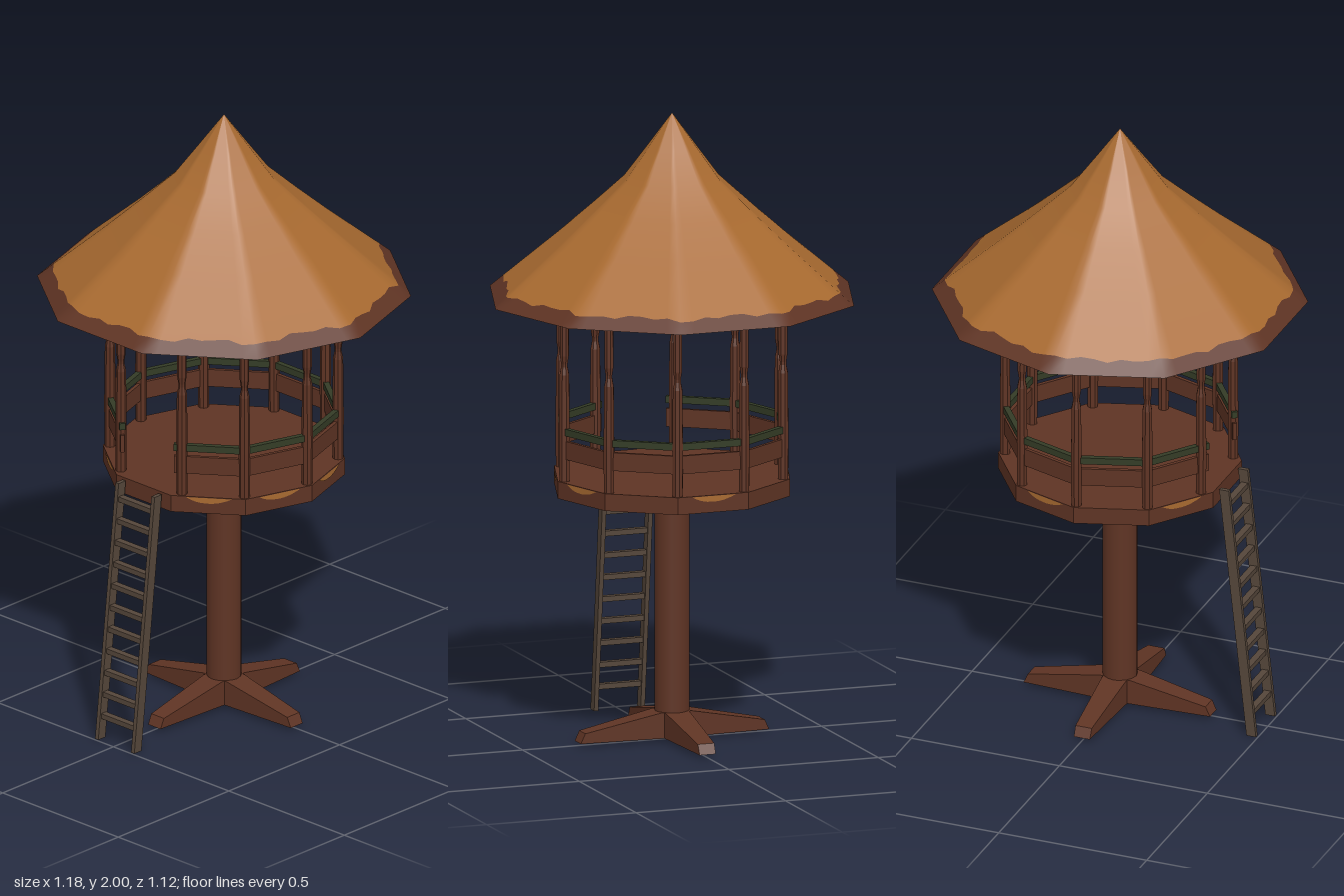
import * as THREE from 'three';

const mat = (name, color, side = THREE.FrontSide) => {
  const m = new THREE.MeshStandardMaterial({ color, side });
  m.name = name;
  return m;
};

export function createModel() {
  const wood = mat('brown wood', 0x5f3424);
  const thatch = mat('golden thatch', 0xa86a30, THREE.DoubleSide);
  const rope = mat('green rail', 0x343c26);
  const ladderWood = mat('grey brown wood', 0x55463a);
  const group = new THREE.Group();
  const SIDES = 10;

  const add = (parent, name, geo, material, x = 0, y = 0, z = 0) => {
    const mesh = new THREE.Mesh(geo, material);
    mesh.name = name;
    mesh.position.set(x, y, z);
    parent.add(mesh);
    return mesh;
  };
  const flat = (geo) => {
    const g = geo.index ? geo.toNonIndexed() : geo;
    g.computeVertexNormals();
    return g;
  };

  // Ten-sided roof surface: rows run from the bottom up, each giving [radius, y] for a step
  const SUB = 8, N = SIDES * SUB;
  const corner = (k, r) => new THREE.Vector3(
    r * Math.cos(k * Math.PI / 5), 0, r * Math.sin(k * Math.PI / 5));
  const roofSurface = (rows, inward = false) => {
    const pos = [], index = [];
    for (const row of rows) {
      for (let i = 0; i < N; i++) {
        const [r, y] = row(i);
        const k = Math.floor(i / SUB);
        const p = corner(k, r).lerp(corner(k + 1, r), (i % SUB) / SUB);
        pos.push(p.x, y, p.z);
      }
    }
    for (let j = 0; j < rows.length - 1; j++) {
      for (let i = 0; i < N; i++) {
        const a = j * N + i, b = j * N + (i + 1) % N, c = a + N, d = b + N;
        if (inward) index.push(a, b, c, b, d, c);
        else index.push(a, c, b, b, c, d);
      }
    }
    const geo = new THREE.BufferGeometry();
    geo.setAttribute('position', new THREE.Float32BufferAttribute(pos, 3));
    geo.setIndex(index);
    geo.computeVertexNormals();
    return geo;
  };
  const fixed = (r, y) => () => [r, y];
  const EAVE = 1.415, R = 0.59;
  const ragged = (i) => {
    const r = 0.546 + 0.005 * Math.sin(i * 2.3) + 0.004 * Math.sin(i * 0.9 + 1);
    return [r, EAVE + (R - r) * 0.185 / 0.22];
  };
  add(group, 'roofRim', roofSurface([fixed(R, EAVE), ragged]), wood);
  add(group, 'roofThatch', roofSurface([
    ragged, fixed(0.37, 1.6), fixed(0.26, 1.697), fixed(0.155, 1.793), fixed(0.08, 1.893), fixed(0.0005, 2),
  ]), thatch);
  add(group, 'roofUnderside', roofSurface([
    fixed(R, EAVE), fixed(0.37, 1.59), fixed(0.155, 1.78), fixed(0.0005, 1.985),
  ], true), wood);

  // Platform with ragged straw along the upper edge
  add(group, 'platform', flat(new THREE.CylinderGeometry(0.382, 0.382, 0.055, SIDES, 1, false, Math.PI / 2)),
    wood, 0, 0.8225, 0);
  const straw = new THREE.Shape();
  straw.moveTo(-0.07, 0.008);
  straw.lineTo(0.075, 0.008);
  straw.quadraticCurveTo(0.03, -0.014, -0.01, -0.01);
  straw.quadraticCurveTo(-0.04, -0.01, -0.07, 0.008);
  const strawGeo = new THREE.ShapeGeometry(straw, 6);

  // Railings on every side but the front, where the ladder arrives
  const apothem = Math.cos(Math.PI / SIDES);
  for (let k = 0; k < SIDES; k++) {
    const side = new THREE.Group();
    side.name = 'platformSide';
    side.rotation.y = k * Math.PI / 5;
    group.add(side);
    if (k % 2 || k === 2) add(side, 'strawPatch', strawGeo, thatch, 0, 0.84, 0.382 * apothem + 0.002);
    if (k === 0) continue;
    add(side, 'lowerRail', new THREE.BoxGeometry(0.222, 0.058, 0.012), wood, 0, 0.95, 0.36 * apothem);
    add(side, 'upperRail', new THREE.BoxGeometry(0.222, 0.022, 0.018), rope, 0, 1.008, 0.36 * apothem);
  }

  // Turned posts at the corners
  const postProfile = [[0.017, 0.85], [0.018, 1.0], [0.016, 1.19], [0.011, 1.215], [0.011, 1.225],
    [0.015, 1.25], [0.014, 1.49], [0, 1.49]].map(([r, y]) => new THREE.Vector2(r, y));
  const postGeo = flat(new THREE.LatheGeometry(postProfile, 8));
  for (let k = 0; k < SIDES; k++) {
    const p = corner(k, 0.36);
    if (k === 2 || k === 3) p.set(Math.sign(p.x) * 0.132, 0, 0.328);
    add(group, 'post', postGeo, wood, p.x, 0, p.z);
  }
  add(group, 'crossBeam', new THREE.BoxGeometry(0.76, 0.03, 0.03), wood, 0, 1.46, 0);

  // Central trunk
  add(group, 'trunk', new THREE.CylinderGeometry(0.055, 0.055, 0.8, 16), wood, 0, 0.41, 0);

  // Four tapering feet
  const profile = new THREE.Shape();
  [[0, 0.01], [0.315, 0.01], [0.3, 0.042], [0.05, 0.092], [0, 0.092]].forEach(([x, y], i) =>
    i ? profile.lineTo(x, y) : profile.moveTo(x, y));
  const footGeo = new THREE.ExtrudeGeometry(profile, { depth: 1, bevelEnabled: false });
  footGeo.translate(0, 0, -0.5);
  const fp = footGeo.attributes.position;
  for (let i = 0; i < fp.count; i++) fp.setZ(i, fp.getZ(i) * (0.085 - 0.1 * fp.getX(i)));
  footGeo.computeVertexNormals();
  for (let k = 0; k < 4; k++) add(group, 'foot', footGeo, wood).rotation.y = k * Math.PI / 2;

  // Leaning ladder: upright parts sheared back towards the platform
  const ladder = new THREE.Group();
  ladder.name = 'ladder';
  group.add(ladder);
  const lean = (y) => 0.478 - 0.092 * y / 0.845;
  const railGeo = new THREE.BoxGeometry(0.014, 0.845, 0.032);
  railGeo.translate(0, 0.4225, 0);
  const rp = railGeo.attributes.position;
  for (let i = 0; i < rp.count; i++) rp.setZ(i, rp.getZ(i) + lean(rp.getY(i)));
  railGeo.computeVertexNormals();
  for (const s of [-1, 1]) add(ladder, 'ladderRail', railGeo, ladderWood, s * 0.078, 0, 0);
  for (let i = 0; i < 11; i++) {
    const y = 0.077 + i * 0.0715;
    add(ladder, 'rung', new THREE.BoxGeometry(0.15, 0.017, 0.022), ladderWood, 0, y, lean(y));
  }
  return group;
}
